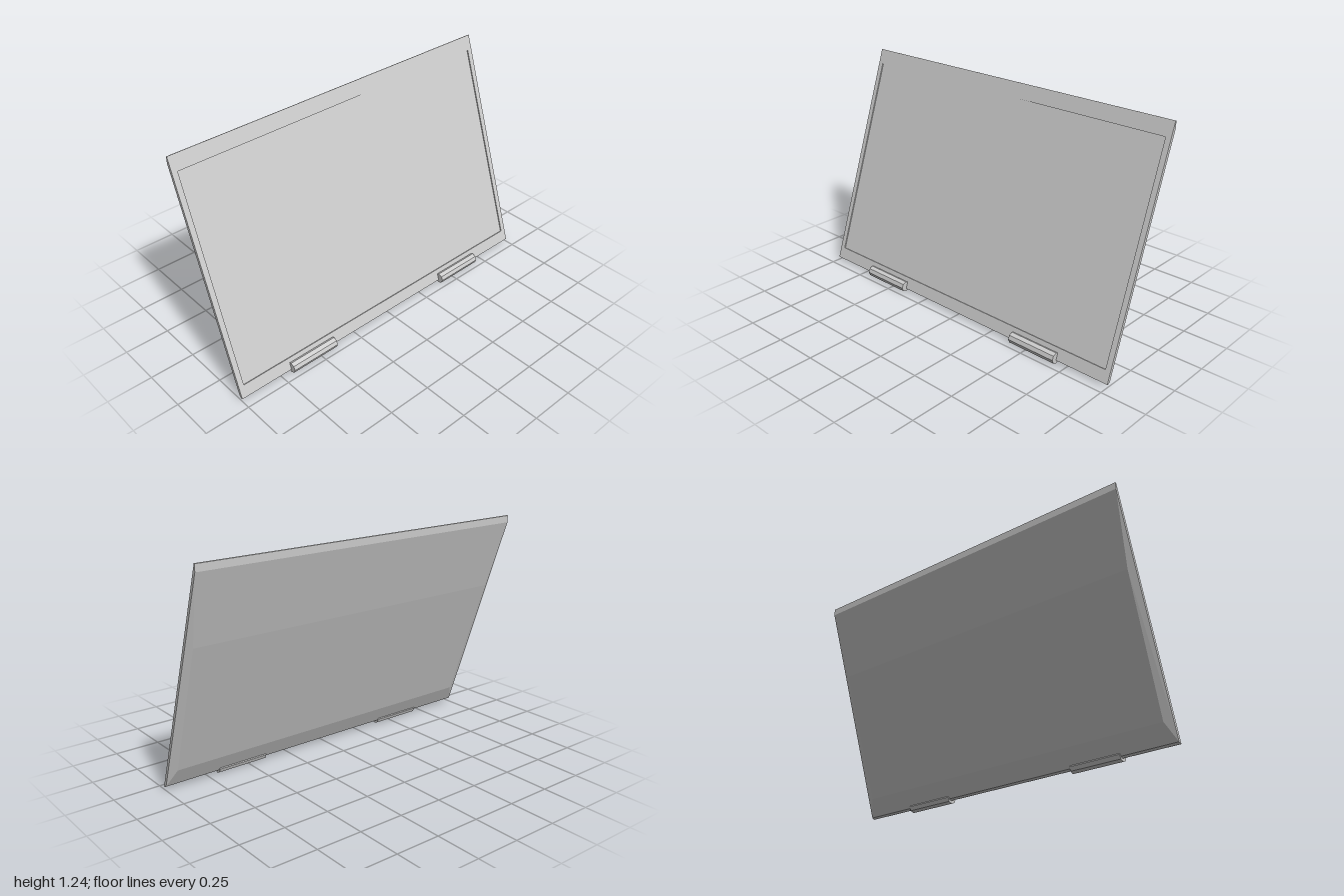
import * as THREE from 'three';

const material = new THREE.MeshStandardMaterial({ color: 0xcccccc, flatShading: true });
const HEIGHT = 1.29, RECESS = 0.006;

function part(name, geometry, x = 0, y = 0, z = 0) {
  const mesh = new THREE.Mesh(geometry, material);
  mesh.name = name;
  mesh.position.set(x, y, z);
  return mesh;
}

// Flat front frame with a rectangular opening
function bezelGeometry(w, bottom, top) {
  const shape = new THREE.Shape([[-1, 0], [1, 0], [1, HEIGHT], [-1, HEIGHT]].map(p => new THREE.Vector2(...p)));
  shape.holes.push(new THREE.Path([[-w, bottom], [-w, top], [w, top], [w, bottom]].map(p => new THREE.Vector2(...p))));
  return new THREE.ExtrudeGeometry(shape, { depth: RECESS, bevelEnabled: false });
}

// Back shell: sections across the lid, each [half width, height, depth], with chamfered sides
function shellGeometry() {
  const rows = [
    [1, 0, -RECESS], [1, 0.012, -0.018], [0.955, 0.117, -0.034],
    [0.965, 0.857, -0.033], [1, 1.254, -0.018], [1, HEIGHT, -RECESS],
  ];
  const out = [];
  const tri = (a, b, c) => out.push(...a, ...b, ...c);
  const mirror = ([x, y, z]) => [-x, y, z];
  // Bottom lip, back panels and top lip
  for (let i = 0; i < rows.length - 1; i++) {
    const a = rows[i], b = rows[i + 1];
    tri(a, mirror(a), mirror(b));
    tri(a, mirror(b), b);
  }
  // Side walls and chamfers, mirrored to both sides
  const sides = [[0, 1, 4], [0, 4, 5], [1, 2, 3], [1, 3, 4]];
  for (const [i, j, k] of sides) {
    const a = rows[i], b = rows[j], c = rows[k];
    tri(a, b, c);
    tri(mirror(a), mirror(c), mirror(b));
  }
  const geometry = new THREE.BufferGeometry();
  geometry.setAttribute('position', new THREE.Float32BufferAttribute(out, 3));
  geometry.computeVertexNormals();
  return geometry;
}

export function createModel() {
  const model = new THREE.Group();
  model.name = 'displayLid';

  // Lid panel leaning backwards from its hinge edge
  const lid = new THREE.Group();
  lid.name = 'lid';
  lid.position.set(0, 0.017, 0.2);
  lid.rotation.x = -Math.atan2(0.42, 1.22);
  model.add(lid);

  const w = 0.97, bottom = 0.066, top = 1.207;
  lid.add(part('bezel', bezelGeometry(w, bottom, top), 0, 0, -RECESS));
  lid.add(part('screen', new THREE.PlaneGeometry(2 * w, top - bottom), 0, (top + bottom) / 2, -RECESS));
  lid.add(part('backShell', shellGeometry()));

  // Octagonal hinge barrels
  for (const side of [-1, 1]) {
    const barrel = new THREE.CylinderGeometry(0.03, 0.03, 0.29, 8).rotateZ(Math.PI / 2);
    model.add(part(side > 0 ? 'leftHinge' : 'rightHinge', barrel, side * 0.545, 0.03, 0.2));
  }
  return model;
}
